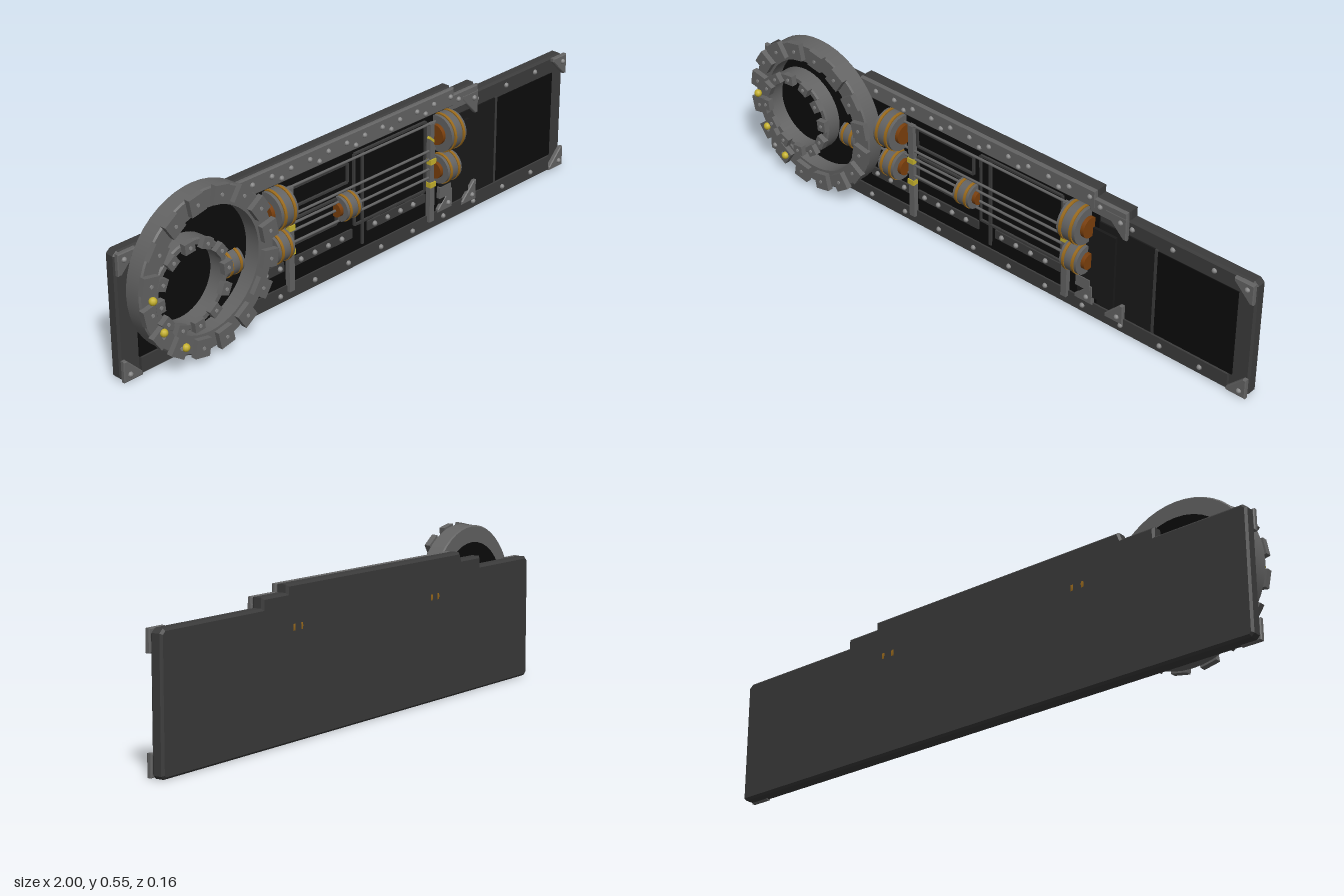
import * as THREE from 'three';

const mat = (name, color) => Object.assign(new THREE.MeshStandardMaterial({ color }), { name });

export function createModel() {
  const M = {
    plate: mat('dark iron', 0x3b3b3b),
    steel: mat('steel', 0x636363),
    rivet: mat('light steel', 0x858585),
    black: mat('black recess', 0x0b0b0b),
    slate: mat('slate recess', 0x191919),
    brass: mat('brass', 0x9a6a1c),
    copper: mat('copper', 0x7a3f0c),
    yellow: mat('yellow brass', 0xc4b02c),
  };
  const root = new THREE.Group();
  const add = (name, geo, m, x = 0, y = 0, z = 0, parent = root) => {
    const mesh = new THREE.Mesh(geo, m);
    mesh.name = name;
    mesh.position.set(x, y, z);
    parent.add(mesh);
    return mesh;
  };
  // Box given by its x, y and z limits
  const box = (name, m, x0, x1, y0, y1, z0, z1) =>
    add(name, new THREE.BoxGeometry(x1 - x0, y1 - y0, z1 - z0), m, (x0 + x1) / 2, (y0 + y1) / 2, (z0 + z1) / 2);
  // Outline extruded from z0 to z1 with a small bevel inside the outline
  const slab = (name, m, pts, z0, z1, b = 0.004) => {
    const s = new THREE.Shape(pts.map(p => new THREE.Vector2(...p)));
    const g = new THREE.ExtrudeGeometry(s, {
      depth: z1 - z0 - 2 * b, bevelEnabled: true, bevelSize: b, bevelThickness: b, bevelOffset: -b, bevelSegments: 1,
    });
    return add(name, g, m, 0, 0, z0 + b);
  };
  const rivetGeo = new THREE.SphereGeometry(0.009, 8, 6);
  const rivet = (x, y, z, m = M.rivet) => add('rivet', rivetGeo, m, x, y, z);

  // Back plate with stepped top edge
  slab('backPlate', M.plate, [
    [-1, 0.01], [-0.99, 0], [0.99, 0], [1, 0.01], [1, 0.405], [0.985, 0.418], [0.54, 0.418], [0.54, 0.45], [0.42, 0.45],
    [0.42, 0.475], [-0.55, 0.475], [-0.56, 0.45], [-0.68, 0.45], [-0.68, 0.418], [-0.985, 0.418], [-1, 0.405],
  ], -0.076, -0.035, 0.007);

  // Recessed panels
  box('machineRecess', M.black, -0.93, 0.43, 0.055, 0.41, -0.04, -0.03);
  box('slidePanel', M.slate, 0.43, 0.64, 0.055, 0.365, -0.04, -0.03);
  box('endPanel', M.black, 0.65, 0.94, 0.055, 0.36, -0.04, -0.031);
  box('panelSeam', M.plate, 0.64, 0.65, 0.055, 0.365, -0.04, -0.029);
  box('sidePanel', M.slate, 0.36, 0.5, 0.08, 0.34, -0.034, -0.02);

  // Riveted trim strips
  slab('topTrim', M.steel, [[-0.55, 0.412], [0.42, 0.412], [0.42, 0.475], [-0.55, 0.475]], -0.034, -0.018);
  slab('stepTrim', M.steel, [[0.4, 0.395], [0.54, 0.395], [0.54, 0.45], [0.4, 0.45]], -0.034, -0.019);
  box('bottomTrim', M.plate, -0.93, 0.93, 0.004, 0.055, -0.036, -0.024);
  for (let i = 0; i < 12; i++) {
    const x = -0.48 + i * 0.08;
    rivet(x, 0.448, -0.018);
    if (i % 2) rivet(x + 0.04, 0.428, -0.018);
  }
  for (let i = 0; i < 12; i++) rivet(-0.82 + i * 0.15, 0.028, -0.023);
  for (const x of [0.55, 0.7, 0.85]) rivet(x, 0.39, -0.035);

  // Triangular corner brackets
  const gusset = (x, y, sx, sy, size = 0.07) => {
    const p = [[x, y], [x - sx * size, y], [x - sx * size, y - sy * 0.012], [x - sx * 0.012, y - sy * size], [x, y - sy * size]];
    slab('cornerBracket', M.steel, sx * sy > 0 ? p : p.reverse(), -0.035, -0.018, 0.003);
    rivet(x - sx * 0.022, y - sy * 0.022, -0.018);
  };
  for (const s of [-1, 1]) {
    gusset(s, 0.001, s, -1);
    gusset(s, 0.417, s, 1);
  }
  gusset(0.54, 0.035, 1, -1);
  gusset(0.42, 0.05, 1, -1);
  gusset(0.54, 0.43, 1, 1, 0.08);

  // Large and small ring housings, each a turned band with raised blocks
  const ring = (name, x, y, R, r, z0, z1, count, block, phase) => {
    const g = new THREE.Group();
    g.name = name;
    g.position.set(x, y, 0);
    root.add(g);
    const pts = [[r, z0], [R - 0.004, z0], [R, z0 + 0.004], [R, z1 - 0.005], [R - 0.005, z1], [r, z1], [r, z0]]
      .map(p => new THREE.Vector2(...p));
    // Duplicate corners keep the band edges sharp
    const sharp = pts.flatMap((p, i) => (i && i < pts.length - 1 ? [p, p.clone()] : [p]));
    const band = add(name + 'Band', new THREE.LatheGeometry(sharp, 48), M.steel, 0, 0, 0, g);
    band.rotation.x = Math.PI / 2;
    band.material = M.steel;
    for (let i = 0; i < count; i++) {
      const arm = new THREE.Group();
      arm.name = name + 'Block';
      arm.rotation.z = phase + (i / count) * Math.PI * 2;
      g.add(arm);
      const mid = R - block[0] / 2 + 0.004;
      add('block', new THREE.BoxGeometry(block[0], block[1], 0.02), M.steel, mid, 0, z1 + 0.008, arm);
      add('blockBolt', new THREE.CylinderGeometry(0.006, 0.006, 0.006, 8), M.rivet, mid, 0, z1 + 0.018, arm).rotation.x = Math.PI / 2;
    }
    return g;
  };
  ring('largeRing', -0.72, 0.283, 0.262, 0.2, -0.017, 0.045, 16, [0.058, 0.056], 0.2);
  ring('smallRing', -0.79, 0.262, 0.145, 0.125, -0.017, 0.046, 12, [0.034, 0.038], 0.1);
  const disc = add('ringFloor', new THREE.CylinderGeometry(0.205, 0.205, 0.012, 40), M.black, -0.72, 0.283, -0.014);
  disc.rotation.x = Math.PI / 2;
  for (const [x, y] of [[-0.952, 0.283], [-0.917, 0.167], [-0.837, 0.085]])
    add('yellowStud', new THREE.SphereGeometry(0.013, 10, 8), M.yellow, x, y, 0.066);

  // Rollers on a sideways axis, with brass rims and copper hubs
  const roller = (x, y, z, r, w = 0.064) => {
    const g = new THREE.Group();
    g.name = 'roller';
    g.position.set(x, y, z);
    g.rotation.z = -Math.PI / 2;
    root.add(g);
    const drum = (name, rad, len, m, off = 0) =>
      add(name, new THREE.CylinderGeometry(rad, rad, len, 32), m, 0, off, 0, g);
    drum('drum', r * 0.93, w, M.steel);
    for (const s of [-1, 1]) drum('brassRim', r, 0.009, M.brass, s * w * 0.28);
    drum('drumBand', r * 0.96, w * 0.4, M.steel);
    for (const s of [-1, 1]) drum('copperHub', r * 0.52, 0.016, M.copper, s * (w / 2 + 0.005));
  };
  for (const x of [-0.395, 0.366]) {
    roller(x, 0.345, -0.01, 0.067, 0.07);
    roller(x, 0.217, -0.012, 0.053, 0.066);
  }
  for (const x of [-0.588, -0.085]) roller(x, 0.236, -0.02, 0.045);

  // Upright posts with yellow clamps
  for (const x of [-0.328, 0.312]) {
    box('post', M.steel, x - 0.011, x + 0.011, 0.035, 0.385, -0.032, -0.012);
    for (const y of [0.17, 0.252]) box('postClamp', M.yellow, x - 0.013, x + 0.013, y - 0.009, y + 0.009, -0.03, -0.008);
  }
  const clamp = box('clampLever', M.yellow, 0.29, 0.33, 0.325, 0.333, -0.02, -0.01);
  clamp.rotation.z = -0.7;

  // Rods running between the rollers
  for (const [x0, x1, y] of [[-0.36, 0.33, 0.385], [-0.36, 0.33, 0.29], [-0.36, 0.33, 0.26], [-0.55, -0.11, 0.235],
    [-0.06, 0.33, 0.225], [-0.36, 0.33, 0.195]]) {
    const rod = add('rod', new THREE.CylinderGeometry(0.0045, 0.0045, x1 - x0, 8), M.steel, (x0 + x1) / 2, y, -0.02);
    rod.rotation.z = Math.PI / 2;
  }

  // Frames behind the rods
  const frame = (x0, x1, y0, y1, t = 0.007) => {
    for (const y of [y0, y1]) box('frameRail', M.plate, x0, x1, y - t / 2, y + t / 2, -0.031, -0.022);
    for (const x of [x0, x1]) box('frameSide', M.plate, x - t / 2, x + t / 2, y0, y1, -0.031, -0.022);
  };
  frame(-0.31, -0.07, 0.31, 0.375);
  frame(-0.31, -0.12, 0.185, 0.27);
  frame(-0.04, 0.29, 0.15, 0.395);
  box('centreBar', M.plate, -0.006, 0.004, 0.07, 0.39, -0.031, -0.024);

  // Lower rail broken into segments with studs
  for (const [x0, x1] of [[-0.52, -0.35], [-0.31, -0.05], [0.02, 0.29]]) {
    box('lowerRail', M.plate, x0, x1, 0.108, 0.14, -0.031, -0.024);
    for (let x = x0 + 0.03; x < x1; x += 0.06) rivet(x, 0.124, -0.022);
  }
  box('sideRail', M.steel, 0.355, 0.41, 0.1, 0.14, -0.031, -0.017);

  return root;
}
